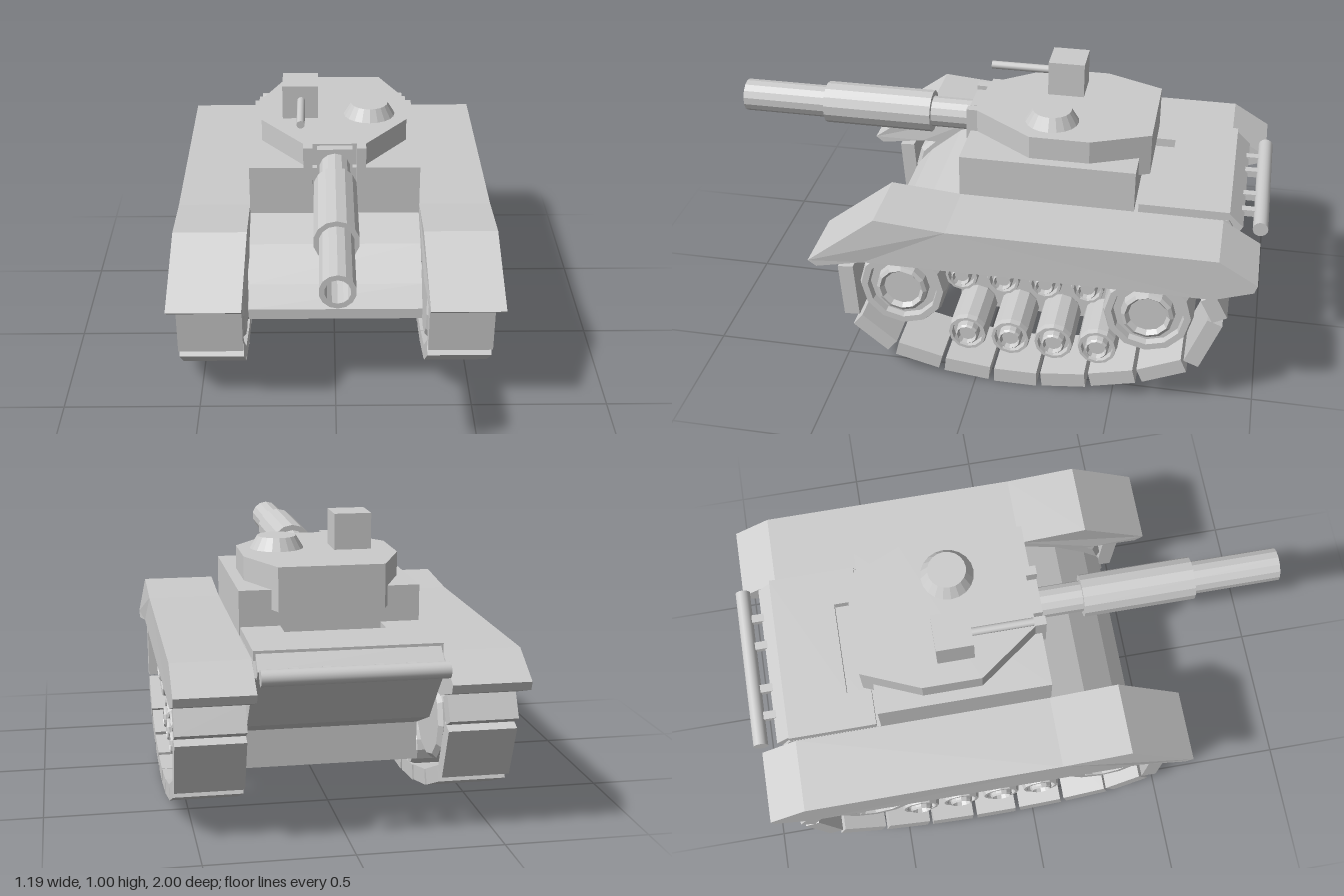
import * as THREE from 'three';

const mat = new THREE.MeshStandardMaterial({ color: 0xcccccc, flatShading: true });
const smooth = new THREE.MeshStandardMaterial({ color: 0xcccccc });

export function createModel() {
  const root = new THREE.Group();

  function add(name, geo, x = 0, y = 0, z = 0, parent = root, material = mat) {
    const m = new THREE.Mesh(geo, material);
    m.name = name;
    m.position.set(x, y, z);
    parent.add(m);
    return m;
  }
  const box = (w, h, d) => new THREE.BoxGeometry(w, h, d);
  const shapeOf = (pts) => new THREE.Shape(pts.map(([a, b]) => new THREE.Vector2(a, b)));

  // side profile of [z, y] points, extruded across x and centred on x = 0
  function sideSlab(pts, width) {
    const g = new THREE.ExtrudeGeometry(shapeOf(pts), { depth: width, bevelEnabled: false });
    return g.translate(0, 0, -width / 2).rotateY(-Math.PI / 2);
  }
  // plan outline of [x, z] points, extruded from y0 up to y1
  function planSlab(pts, y0, y1) {
    const g = new THREE.ExtrudeGeometry(shapeOf(pts.map(([x, z]) => [x, -z])), { depth: y1 - y0, bevelEnabled: false });
    return g.rotateX(-Math.PI / 2).translate(0, y0, 0);
  }
  // profile of [radius, height] points turned around an axis
  const lathe = (pts, n) => new THREE.LatheGeometry(pts.map(([r, h]) => new THREE.Vector2(r, h)), n);

  // hull: central block plus sloped nose and tail
  add('hullBlock', box(0.63, 0.635, 0.63), 0, 0.4675, -0.21);
  add('hullBody', sideSlab([
    [0.1, 0.6], [0.24, 0.54], [0.36, 0.44], [0.42, 0.37], [0.42, 0.33], [0.1, 0.285],
    [-0.52, 0.285], [-0.7, 0.36], [-0.8, 0.48], [-0.89, 0.58], [-0.86, 0.63], [-0.5, 0.63], [0.1, 0.63],
  ], 0.628));

  // engine deck with a notch behind the turret, and its sloped tail
  add('engineDeck', planSlab([
    [-0.313, -0.54], [-0.313, -0.86], [0.313, -0.86], [0.313, -0.54],
    [0.175, -0.54], [0.175, -0.63], [-0.175, -0.63], [-0.175, -0.54],
  ], 0.62, 0.662));
  add('deckTail', sideSlab([[-0.85, 0.662], [-0.91, 0.605], [-0.89, 0.575], [-0.85, 0.575]], 0.61));

  // rear tube on brackets
  const tube = new THREE.CylinderGeometry(0.027, 0.027, 0.61, 20).rotateZ(Math.PI / 2);
  add('rearTube', tube, 0, 0.602, -0.97, root, smooth);
  for (const x of [-0.195, -0.09, 0.08, 0.19]) add('tubeBracket', box(0.03, 0.025, 0.08), x, 0.602, -0.92);

  // fender, flaring outward at its front
  const fenderGeo = (side) => {
    const g = sideSlab([
      [0.6, 0.467], [0.355, 0.653], [0.1, 0.632], [-0.84, 0.63], [-0.975, 0.55],
      [-0.965, 0.52], [-0.83, 0.475], [0.4, 0.475], [0.57, 0.445],
    ], 0.265);
    const p = g.attributes.position;
    for (let i = 0; i < p.count; i++) {
      const flare = Math.max(0, p.getZ(i) - 0.355) * 0.06;
      p.setX(i, p.getX(i) + side * flare);
    }
    g.computeVertexNormals();
    return g;
  };

  // wheel turned around x, with rim, recess and hub
  const wheelGeo = (r, width, n, side) => lathe([
    [0, -width], [r * 0.9, -width], [r, -width + 0.015], [r, -0.02], [r * 0.95, 0],
    [r * 0.8, 0], [r * 0.77, -0.025], [r * 0.6, -0.025], [r * 0.58, 0.005],
    [r * 0.5, 0.012], [r * 0.42, -0.005], [0, -0.005],
  ], n).rotateZ(-side * Math.PI / 2);

  // track plates: end points of each plate's middle line as z, y, z, y
  const plates = [
    [0.47, 0.44, 0.455, 0.235], [0.435, 0.212, 0.31, 0.11], [0.292, 0.1, 0.13, 0.06],
    [0.113, 0.053, -0.052, 0.035], [-0.07, 0.031, -0.225, 0.031], [-0.243, 0.035, -0.402, 0.053],
    [-0.42, 0.06, -0.578, 0.098], [-0.597, 0.105, -0.75, 0.172], [-0.775, 0.185, -0.845, 0.37],
    [-0.86, 0.385, -0.815, 0.47],
  ];

  for (const side of [1, -1]) {
    const running = new THREE.Group();
    running.name = side > 0 ? 'leftRunningGear' : 'rightRunningGear';
    root.add(running);
    add('fender', fenderGeo(side), side * 0.4475, 0, 0, running);
    for (const [z1, y1, z2, y2] of plates) {
      const m = add('trackPlate', box(0.235, 0.056, Math.hypot(z2 - z1, y2 - y1)),
        side * 0.4525, (y1 + y2) / 2, (z1 + z2) / 2, running);
      m.rotation.x = -Math.atan2(y1 - y2, z1 - z2);
    }
    for (const z of [0.275, -0.61]) add('bigWheel', wheelGeo(0.16, 0.2, 12, side), side * 0.53, 0.345, z, running);
    for (let i = 0; i < 4; i++) {
      add('returnRoller', wheelGeo(0.06, 0.22, 12, side), side * 0.53, 0.425, 0.055 - i * 0.15, running);
      add('roadWheel', wheelGeo(0.072, 0.22, 12, side), side * 0.53, 0.175, 0.037 - i * 0.158, running);
    }
  }

  // turret: faceted plan with an overhanging rear
  add('turret', planSlab([
    [-0.115, 0.08], [-0.275, -0.14], [-0.275, -0.355], [-0.185, -0.565],
    [0.185, -0.565], [0.275, -0.355], [0.275, -0.14], [0.115, 0.08],
  ], 0.715, 0.87));

  // gun mount
  add('mantlet', box(0.13, 0.145, 0.08), 0, 0.79, 0.075);
  for (const s of [1, -1]) add('mantletCheek', box(0.034, 0.16, 0.06), s * 0.098, 0.79, 0.09);

  // main gun: stepped barrel with a hollow muzzle
  const gun = lathe([
    [0, 0.1], [0.057, 0.1], [0.057, 0.27], [0.078, 0.27], [0.078, 0.68], [0.06, 0.68],
    [0.06, 1], [0.042, 1], [0.042, 0.8], [0, 0.8],
  ], 14).rotateX(Math.PI / 2);
  add('mainGun', gun, 0, 0.79, 0);

  // hatch and roof gun
  add('hatch', new THREE.CylinderGeometry(0.07, 0.098, 0.046, 20), 0.135, 0.892, -0.2);
  add('roofGunBox', box(0.134, 0.131, 0.134), -0.128, 0.9345, -0.22);
  add('roofGunBarrel', new THREE.CylinderGeometry(0.015, 0.015, 0.23, 12).rotateX(Math.PI / 2),
    -0.124, 0.942, -0.045, root, smooth);

  return root;
}
